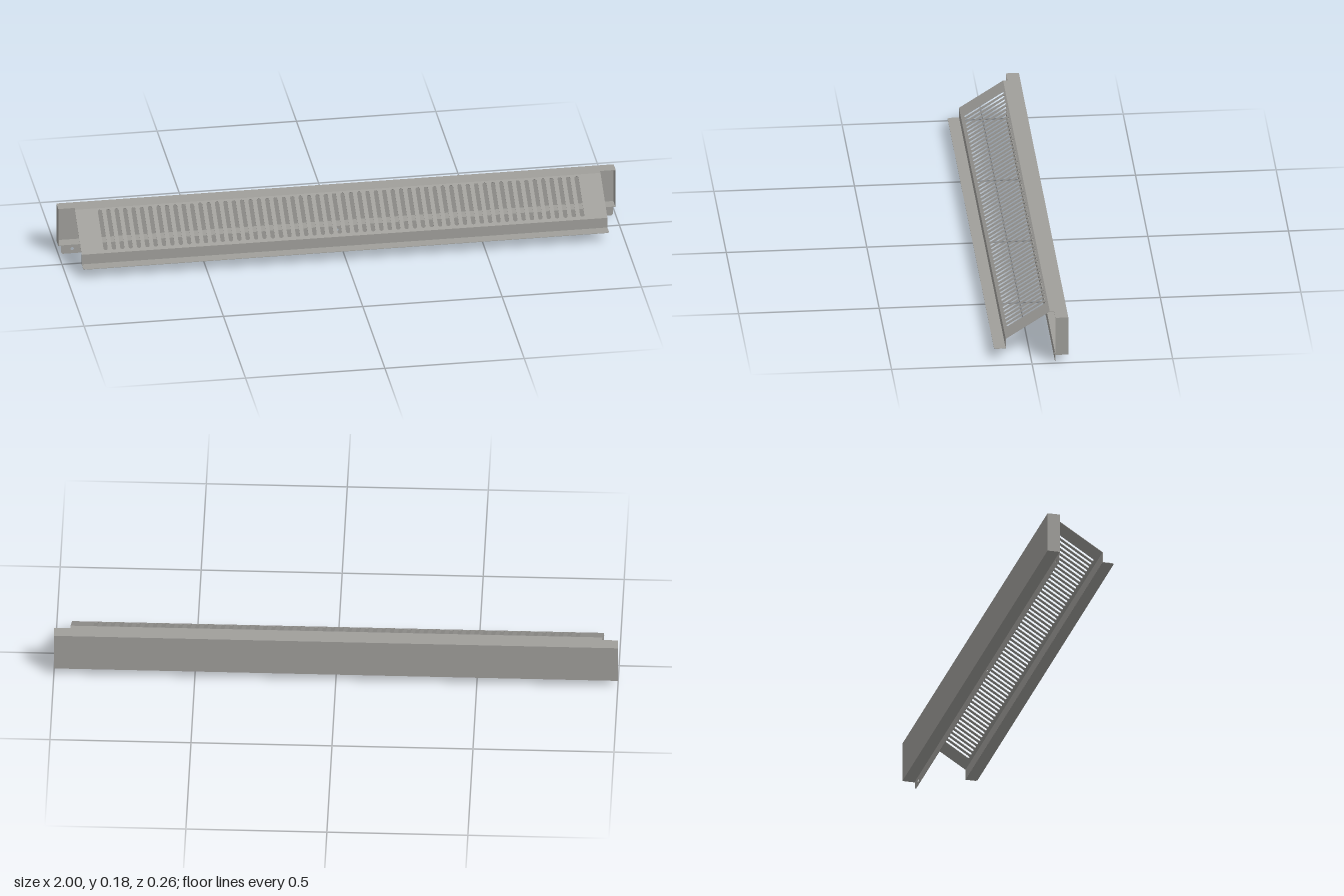
import * as THREE from 'three';

const T = 0.0016; // sheet thickness

// Outline of a sheet, width w and length len, with optional clipped corners at its start
function outline(w, len, clip = 0) {
  const h = w / 2, s = new THREE.Shape();
  s.moveTo(-h + clip, 0);
  s.lineTo(h - clip, 0);
  if (clip) s.lineTo(h, clip);
  s.lineTo(h, len);
  s.lineTo(-h, len);
  if (clip) s.lineTo(-h, clip);
  s.closePath();
  return s;
}

// Vertical slot with round ends
function slot(x, v0, v1, r) {
  const p = new THREE.Path();
  p.absarc(x, v0 + r, r, Math.PI, Math.PI * 2, false);
  p.absarc(x, v1 - r, r, 0, Math.PI, false);
  p.closePath();
  return p;
}

export function createModel() {
  const group = new THREE.Group();
  const metal = new THREE.MeshStandardMaterial({ color: 0xa09f9b });
  metal.name = 'grey sheet metal';

  // Flat sheet running from (z, y) point a to b; its outer face lies on that line
  function sheet(name, a, b, w, { clip = 0, holes = [] } = {}) {
    const from = new THREE.Vector3(0, a[1], a[0]);
    const v = new THREE.Vector3(0, b[1], b[0]).sub(from);
    const len = v.length();
    v.normalize();
    const x = new THREE.Vector3(1, 0, 0), n = x.clone().cross(v);
    const shape = outline(w, len, clip);
    shape.holes.push(...holes);
    const geo = new THREE.ExtrudeGeometry(shape, { depth: T, bevelEnabled: false, curveSegments: 6 });
    geo.applyMatrix4(new THREE.Matrix4().makeBasis(x, v, n).setPosition(from.addScaledVector(n, -T)));
    const mesh = new THREE.Mesh(geo, metal);
    mesh.name = name;
    group.add(mesh);
  }

  const wide = 2, narrow = 1.886;
  const back = -0.129, open = -0.083, top = 0.178, base = 0.032;

  // Rear channel, open to the front
  sheet('topFlange', [open, top], [back, top], wide);
  sheet('backPanel', [back, top], [back, base], wide);
  sheet('bottomFlange', [back, base], [open, base], wide);
  for (const side of [-1, 1]) {
    const cap = new THREE.Mesh(new THREE.BoxGeometry(T, top - base - 0.003, open - back), metal);
    cap.position.set(side * (1 - T / 2), (top + base) / 2, (open + back) / 2);
    cap.name = side > 0 ? 'leftEndCap' : 'rightEndCap';
    group.add(cap);
  }

  // Mounting lip with screw holes
  const screwHoles = [-0.95, 0, 0.95].map((x) => slot(x, 0.012, 0.024, 0.006));
  sheet('mountingLip', [open, 0], [open, base], 1.98, { clip: 0.006, holes: screwHoles });

  // Slotted sloping grille
  const slots = [], count = 58, pitch = 0.03;
  for (let i = 0; i < count; i++) {
    slots.push(slot((i - (count - 1) / 2) * pitch, 0.012, 0.18, 0.0075));
  }
  sheet('grillePanel', [0.089, 0.077], [-0.068, top], narrow, { holes: slots });
  sheet('grilleTopStrip', [-0.068, top], [open, top], narrow);

  // Front riser and foot
  sheet('frontRiser', [0.089, 0.038], [0.089, 0.077], narrow);
  sheet('frontFoot', [0.13, 0.039], [0.088, 0.039], narrow, { clip: 0.006 });

  return group;
}
